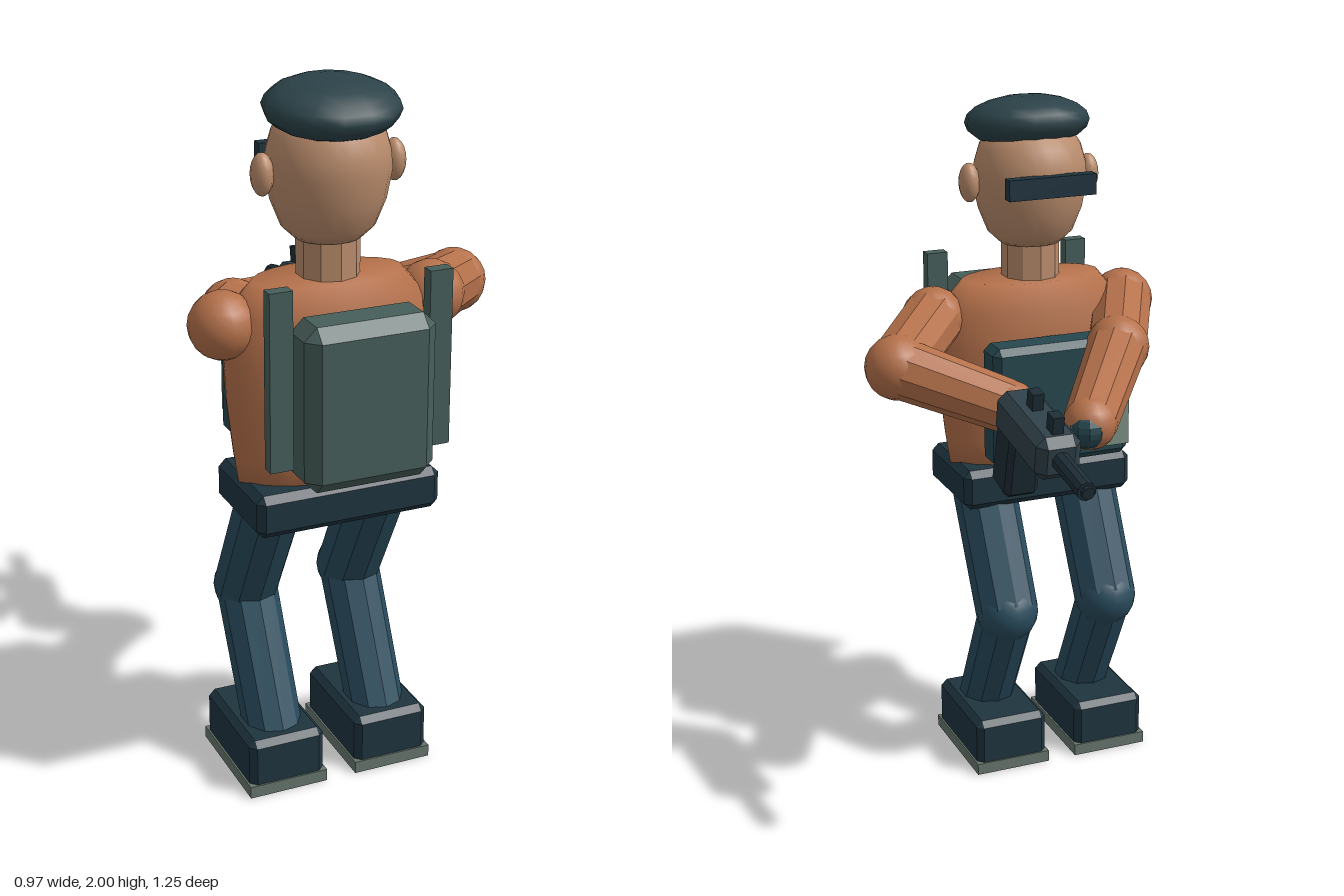
import * as THREE from 'three';
import { ConvexGeometry } from 'three/addons/geometries/ConvexGeometry.js';

const mat = (color, flatShading = false) => new THREE.MeshStandardMaterial({ color, flatShading });
const sleeve = mat(0xb5714b), sleeveFlat = mat(0xb5714b, true), skin = mat(0xba8c6c), cloth = mat(0x294c5e), clothFlat = mat(0x294c5e, true);
const dark = mat(0x1f343f, true), beretMat = mat(0x2b4248), canvas = mat(0x475e5a, true);
const vestMat = mat(0x26474f, true), pouchMat = mat(0x7d9083, true), soleMat = mat(0x66756c, true);
const gunMat = mat(0x30414a, true), gunDark = mat(0x1e2d36, true);

const CX = -0.105, CZ = 0.325; // body axis
const V = (x, y, z) => new THREE.Vector3(x, y, z);

export function createModel() {
  const model = new THREE.Group();

  function add(name, geometry, material, pos, parent = model) {
    const mesh = new THREE.Mesh(geometry, material);
    mesh.name = name;
    mesh.position.set(...pos);
    parent.add(mesh);
    return mesh;
  }

  // box with all edges chamfered by c
  function chamferBox(w, h, d, c) {
    const pts = [];
    for (const x of [-w / 2, w / 2]) for (const y of [-h / 2, h / 2]) for (const z of [-d / 2, d / 2]) {
      const ix = x - Math.sign(x) * c, iy = y - Math.sign(y) * c, iz = z - Math.sign(z) * c;
      pts.push(V(x, iy, iz), V(ix, y, iz), V(ix, iy, z));
    }
    return new ConvexGeometry(pts);
  }

  const ellipsoid = (rx, ry, rz, seg = 16) => new THREE.SphereGeometry(1, seg, 10).scale(rx, ry, rz);
  const lathe = (profile, seg, sz) =>
    new THREE.LatheGeometry(profile.map(([r, y]) => new THREE.Vector2(r, y)), seg).scale(1, 1, sz);

  // faceted tapered limb running from a to b
  function limb(name, a, b, ra, rb, material, parent) {
    const dir = b.clone().sub(a);
    const m = add(name, new THREE.CylinderGeometry(rb, ra, dir.length(), 10), material,
      a.clone().add(b).multiplyScalar(0.5).toArray(), parent);
    m.quaternion.setFromUnitVectors(V(0, 1, 0), dir.normalize());
  }

  // torso and belt
  add('torso', lathe([[0, 0.9], [0.255, 0.9], [0.27, 1.0], [0.288, 1.15], [0.295, 1.28], [0.275, 1.4], [0.21, 1.475], [0, 1.477]], 20, 0.52),
    sleeve, [CX, 0, CZ]);
  add('belt', chamferBox(0.53, 0.12, 0.31, 0.02), dark, [CX, 0.876, 0.33]);

  // head
  add('neck', new THREE.CylinderGeometry(0.085, 0.085, 0.18, 10), mat(0xba8c6c, true), [CX, 1.54, CZ]);
  add('head', lathe([[0, 1.575], [0.09, 1.577], [0.125, 1.61], [0.153, 1.68], [0.168, 1.76], [0.163, 1.81], [0.148, 1.86], [0.115, 1.91], [0, 1.95]], 24, 0.95),
    skin, [CX, 0, CZ]);
  for (const s of [-1, 1]) add('ear', ellipsoid(0.03, 0.057, 0.037, 12), skin, [CX + s * 0.185, 1.76, 0.33]);
  add('beret', ellipsoid(0.183, 0.076, 0.17, 14), beretMat, [CX, 1.922, 0.347]).rotation.x = 0.1;
  add('visor', new THREE.BoxGeometry(0.265, 0.06, 0.035), dark, [-0.102, 1.767, 0.16]);

  // legs and boots
  for (const s of [-1, 1]) {
    const leg = new THREE.Group();
    leg.name = s > 0 ? 'leftLeg' : 'rightLeg';
    model.add(leg);
    const x = CX + s * 0.16;
    const hip = V(x, 0.86, 0.315), knee = V(x, 0.505, 0.122), ankle = V(x, 0.13, 0.315);
    limb('thigh', hip, knee, 0.095, 0.093, clothFlat, leg);
    limb('shin', knee, ankle, 0.086, 0.083, clothFlat, leg);
    add('knee', ellipsoid(0.093, 0.093, 0.093), cloth, knee.toArray(), leg);
    add('boot', chamferBox(0.222, 0.15, 0.345, 0.018), dark, [x, 0.092, 0.252], leg);
    add('sole', new THREE.BoxGeometry(0.232, 0.035, 0.355), soleMat, [x, 0.0175, 0.252], leg);
  }

  // arms holding the rifle
  const arms = {
    leftArm: [V(0.2, 1.375, 0.32), V(0.39, 1.315, 0.09), V(0.125, 1.22, -0.09)],
    rightArm: [V(-0.4, 1.37, 0.32), V(-0.27, 1.305, 0.065), V(-0.042, 1.205, -0.255)],
  };
  for (const [name, [shoulder, elbow, wrist]] of Object.entries(arms)) {
    const arm = new THREE.Group();
    arm.name = name;
    model.add(arm);
    limb('upperArm', shoulder, elbow, 0.09, 0.086, sleeveFlat, arm);
    limb('forearm', elbow, wrist, 0.086, 0.075, sleeveFlat, arm);
    add('shoulder', ellipsoid(0.092, 0.092, 0.092), sleeve, shoulder.toArray(), arm);
    add('elbow', ellipsoid(0.092, 0.092, 0.092), sleeve, elbow.toArray(), arm);
    add('cuff', ellipsoid(0.075, 0.075, 0.075), sleeve, wrist.toArray(), arm);
    const hand = wrist.clone().add(wrist.clone().sub(elbow).setLength(0.03));
    add('hand', ellipsoid(0.055, 0.055, 0.055, 10), vestMat, hand.toArray(), arm);
  }

  // backpack with side rails
  add('backpack', chamferBox(0.365, 0.45, 0.155, 0.035), canvas, [CX, 1.205, 0.546]);
  for (const s of [-1, 1]) add('packRail', new THREE.BoxGeometry(0.064, 0.485, 0.038), canvas, [CX + s * 0.223, 1.275, 0.522]);

  // chest vest with pouches
  add('vest', chamferBox(0.42, 0.36, 0.11, 0.02), vestMat, [CX, 1.15, 0.128]);
  for (const s of [-1, 1]) add('pouch', new THREE.BoxGeometry(0.105, 0.145, 0.06), pouchMat, [CX + s * 0.14, 1.088, 0.07]);

  // rifle, pitched slightly down
  const rifle = new THREE.Group();
  rifle.name = 'rifle';
  rifle.position.set(0.128, 1.21, -0.292);
  rifle.rotation.x = -0.165;
  model.add(rifle);
  add('receiver', chamferBox(0.128, 0.125, 0.325, 0.025), gunMat, [0, 0, 0], rifle);
  add('barrel', new THREE.CylinderGeometry(0.027, 0.027, 0.19, 10).rotateX(Math.PI / 2), gunDark, [0, 0, -0.233], rifle);
  add('muzzle', new THREE.CylinderGeometry(0.018, 0.018, 0.03, 10).rotateX(Math.PI / 2), gunDark, [0, 0, -0.325], rifle);
  add('magazine', chamferBox(0.1, 0.2, 0.115, 0.015), gunDark, [0, -0.138, 0.123], rifle).rotation.x = -0.09;
  for (const z of [0.03, -0.108]) add('sight', new THREE.BoxGeometry(0.032, 0.06, 0.042), gunDark, [0, 0.08, z], rifle);

  return model;
}
